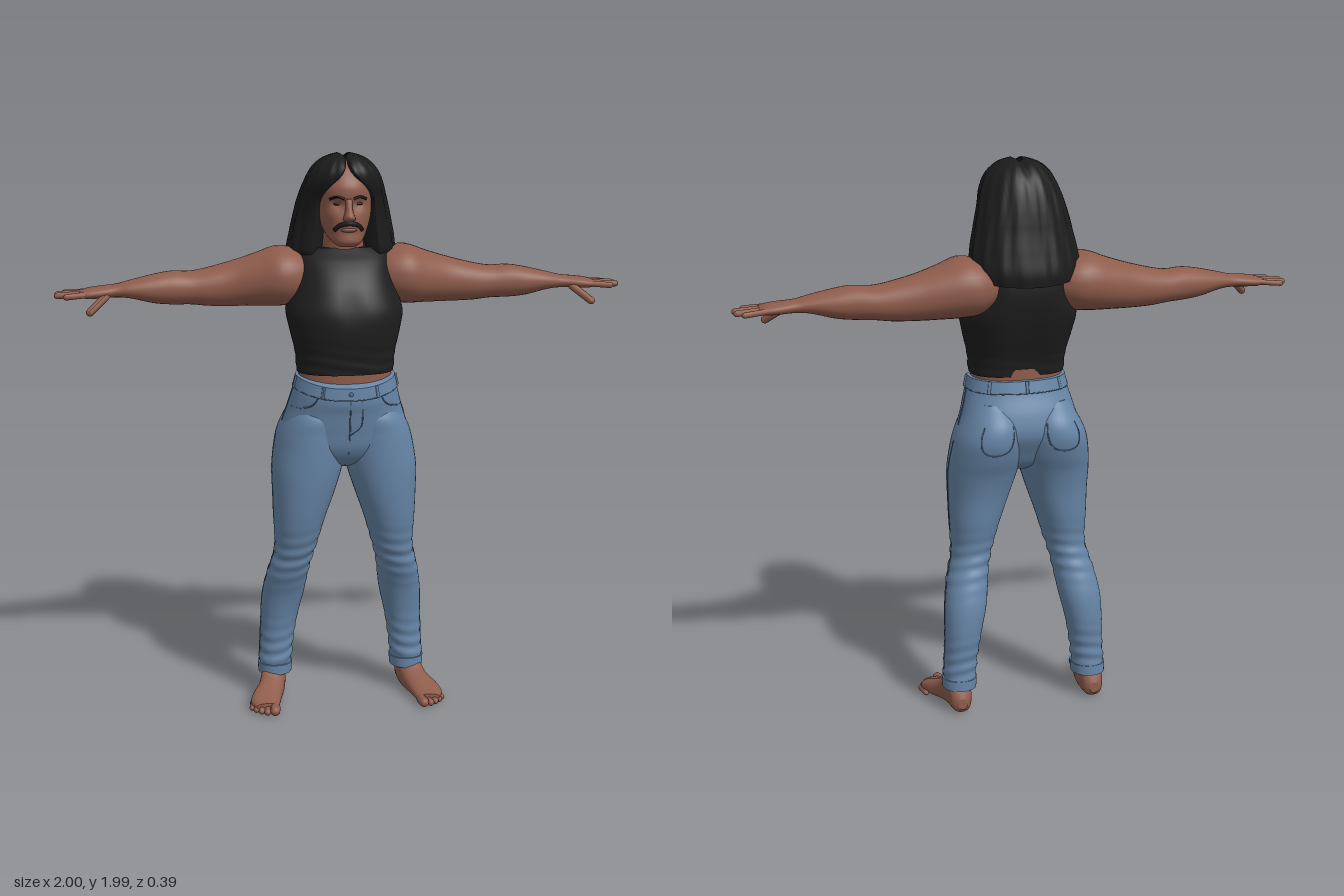
import * as THREE from 'three';

const material = (name, color) => {
  const m = new THREE.MeshStandardMaterial({ color });
  m.name = name;
  return m;
};
const V = (x, y, z) => new THREE.Vector3(x, y, z);
const bump = (x, c, w) => Math.exp(-(((x - c) / w) ** 2));

// Smooth interpolation of rows [t, uMin, uMax, vMin, vMax, ...] sorted by t
function sample(rows, t) {
  const n = rows.length;
  let i = 0;
  while (i < n - 2 && t > rows[i + 1][0]) i++;
  const a = rows[i], b = rows[i + 1], h = b[0] - a[0], s = (t - a[0]) / h;
  const before = rows[Math.max(i - 1, 0)], after = rows[Math.min(i + 2, n - 1)];
  return a.map((_, k) => {
    const m0 = (b[k] - before[k]) / (b[0] - before[0]), m1 = (after[k] - a[k]) / (after[0] - a[0]);
    return a[k] * (1 + 2 * s) * (1 - s) ** 2 + m0 * h * s * (1 - s) ** 2
      + b[k] * s * s * (3 - 2 * s) + m1 * h * s * s * (s - 1);
  });
}

// Rounded cross-sections along an axis; angle 0 points to +v
function surface(table, { axis = 'y', p = 2, warp } = {}) {
  const rows = [...table].sort((a, b) => a[0] - b[0]);
  const pow = (c) => Math.sign(c) * Math.abs(c) ** (2 / p);
  const f = (t, a) => {
    const [, u0, u1, v0, v1] = sample(rows, t);
    const u = (u0 + u1) / 2 + ((u1 - u0) / 2) * pow(Math.sin(a));
    const v = (v0 + v1) / 2 + ((v1 - v0) / 2) * pow(Math.cos(a));
    const q = axis === 'y' ? V(u, t, v) : axis === 'x' ? V(t, u, v) : V(u, v, t);
    if (warp) warp(q, t, a);
    return q;
  };
  f.rows = rows;
  return f;
}

// Skin a surface function into a closed geometry
function loft(f, steps = 40, n = 40) {
  const t0 = f.rows[0][0], t1 = f.rows[f.rows.length - 1][0], pos = [], idx = [];
  const ring = (t) => {
    for (let i = 0; i < n; i++) pos.push(...f(t, (2 * Math.PI * (i + 0.5)) / n).toArray());
  };
  for (let j = 0; j <= steps; j++) ring(t0 + ((t1 - t0) * j) / steps);
  for (let j = 0; j < steps; j++) for (let i = 0; i < n; i++) {
    const a = j * n + i, b = j * n + ((i + 1) % n);
    idx.push(a, a + n, b, b, a + n, b + n);
  }
  [t0, t1].forEach((t, k) => {
    const s = pos.length / 3;
    ring(t);
    for (let i = 0; i < n / 2 - 1; i++) {
      const a = s + i, b = a + 1, c = s + n - 2 - i, d = c + 1;
      idx.push(...(k ? [a, d, b, b, d, c] : [a, b, d, b, c, d]));
    }
  });
  let volume = 0;
  const P = (i) => V().fromArray(pos, i * 3);
  for (let i = 0; i < idx.length; i += 3) volume += P(idx[i]).dot(P(idx[i + 1]).cross(P(idx[i + 2])));
  if (volume < 0) idx.reverse();
  const g = new THREE.BufferGeometry();
  g.setAttribute('position', new THREE.Float32BufferAttribute(pos, 3));
  g.setIndex(idx);
  g.computeVertexNormals();
  return g;
}

function capsule(a, b, r, flat = 1) {
  const d = b.clone().sub(a), len = d.length();
  const g = new THREE.CapsuleGeometry(r, Math.max(len - 2 * r, 0.001), 5, 10);
  g.applyQuaternion(new THREE.Quaternion().setFromUnitVectors(V(0, 1, 0), d.normalize()));
  g.scale(1, flat, 1);
  const c = a.clone().add(b).multiplyScalar(0.5);
  return g.translate(c.x, c.y, c.z);
}
const tube = (pts, r) => new THREE.TubeGeometry(new THREE.CatmullRomCurve3(pts), 24, r, 6);
const ball = (x, y, z, rx, ry, rz) => new THREE.SphereGeometry(1, 16, 10).scale(rx, ry, rz).translate(x, y, z);
const line = (f, pts, r = 0.0025) => tube(pts.map(([t, a]) => f(t, a)), r);
const even = (rows) => rows.map(([t, w, ...rest]) => [t, -w, w, ...rest]);

export function createModel() {
  const model = new THREE.Group();
  model.name = 'standingMan';
  const skin = material('skin', 0x8e5c4b), hairMat = material('black hair', 0x1b1b1b);
  const cloth = material('black cloth', 0x1e1e1e), denim = material('blue denim', 0x6685a6);
  const stitch = material('denim seam', 0x506c8b), lipMat = material('lips', 0x7a4a3f);

  const add = (name, geo, mat) => {
    const m = new THREE.Mesh(geo, mat);
    m.name = name;
    model.add(m);
  };
  const pair = (name, geo, mat) => {
    const other = geo.clone().scale(-1, 1, 1);
    other.setIndex([...geo.index.array].reverse());
    other.computeVertexNormals();
    add('left' + name, geo, mat);
    add('right' + name, other, mat);
  };

  // Head, with hollowed eye sockets and fuller cheeks
  const head = surface(even([
    [1.675, 0.032, 0.075, 0.132], [1.69, 0.052, 0.03, 0.146], [1.72, 0.072, -0.04, 0.145],
    [1.76, 0.087, -0.08, 0.146], [1.8, 0.094, -0.1, 0.14], [1.84, 0.096, -0.11, 0.143],
    [1.88, 0.095, -0.1, 0.14], [1.92, 0.08, -0.08, 0.115], [1.95, 0.05, -0.04, 0.08], [1.962, 0.015, 0, 0.04],
  ]), {
    p: 2.15, warp: (q, t, a) => {
      if (Math.cos(a) < 0) return;
      const x = Math.abs(q.x);
      q.z += -0.012 * bump(x, 0.035, 0.022) * bump(t, 1.82, 0.016) + 0.005 * bump(x, 0.055, 0.02) * bump(t, 1.785, 0.02);
    },
  });
  add('head', loft(head, 60, 72), skin);
  add('nose', loft(surface(even([
    [1.762, 0.014, 0.12, 0.155], [1.768, 0.022, 0.12, 0.173], [1.78, 0.019, 0.12, 0.182],
    [1.8, 0.013, 0.12, 0.166], [1.838, 0.012, 0.12, 0.148],
  ])), 16, 20), skin);
  add('neck', loft(surface(even([[1.56, 0.1, -0.12, 0.07], [1.64, 0.078, -0.09, 0.06], [1.72, 0.07, -0.07, 0.07]])), 8), skin);
  pair('Eye', ball(0.035, 1.82, 0.121, 0.015, 0.005, 0.005), hairMat);
  pair('Eyebrow', tube([V(0.015, 1.838, 0.143), V(0.038, 1.845, 0.136), V(0.062, 1.837, 0.117)], 0.005), hairMat);
  add('moustache', tube([V(-0.048, 1.733, 0.127), V(-0.03, 1.75, 0.144), V(0, 1.756, 0.153),
    V(0.03, 1.75, 0.144), V(0.048, 1.733, 0.127)], 0.008), hairMat);
  add('lips', ball(0, 1.733, 0.142, 0.028, 0.008, 0.009), lipMat);

  // Hair: a thick shell, open around the face; the last column is half the opening angle
  const hairRows = even([
    [1.615, 0.178, -0.19, 0.065, 0.7], [1.65, 0.192, -0.192, 0.085, 0.62], [1.7, 0.187, -0.178, 0.085, 0.6],
    [1.76, 0.172, -0.16, 0.088, 0.6], [1.83, 0.155, -0.145, 0.108, 0.62], [1.88, 0.14, -0.13, 0.137, 0.42],
    [1.92, 0.122, -0.11, 0.143, 0.14], [1.95, 0.1, -0.085, 0.127, 0.05], [1.975, 0.065, -0.05, 0.095, 0.02],
    [1.987, 0.025, -0.01, 0.06, 0.02],
  ]);
  const hair = (t, a) => {
    const [, u0, u1, v0, v1, open] = sample(hairRows, t);
    const inner = a > Math.PI, s = (inner ? 2 * Math.PI - a : a) / Math.PI;
    const b = open + s * 2 * (Math.PI - open);
    const k = inner ? 0.66 : 1 + 0.013 * Math.sin(17 * b + 9 * t) + 0.008 * Math.sin(31 * b - 20 * t);
    const x = (u1 / 1) * k * Math.sin(b), z = (v0 + v1) / 2 + ((v1 - v0) / 2) * k * Math.cos(b);
    const drop = 0.022 * (1 - Math.cos(b)) * THREE.MathUtils.clamp((1.78 - t) / 0.15, 0, 1);
    const part = 0.012 * bump(x, 0, 0.012) * THREE.MathUtils.smoothstep(t, 1.9, 1.96);
    return V(x, t - drop - part, z);
  };
  hair.rows = hairRows;
  add('longHair', loft(hair, 50, 160), hairMat);

  // Sleeveless top with spine and chest grooves, and the bare waist below it
  const top = surface(even([
    [1.235, 0.17, -0.077, 0.175], [1.3, 0.175, -0.092, 0.185], [1.38, 0.193, -0.125, 0.2], [1.45, 0.204, -0.15, 0.2],
    [1.52, 0.183, -0.165, 0.177], [1.58, 0.17, -0.165, 0.14], [1.62, 0.167, -0.152, 0.105],
    [1.645, 0.16, -0.135, 0.075], [1.662, 0.13, -0.11, 0.055],
  ]), {
    p: 2.4, warp: (q, t, a) => {
      q.z += 0.016 * bump(a, Math.PI, 0.3) - 0.008 * bump(q.x, 0, 0.03) * bump(t, 1.47, 0.07) * (Math.cos(a) > 0);
      const fold = 1 + 0.008 * Math.sin(t * 150 + 3 * Math.sin(a * 2)) * bump(t, 1.25, 0.07);
      q.x *= fold;
      q.z *= fold;
    },
  });
  add('sleevelessTop', loft(top, 60, 64), cloth);
  add('waist', loft(surface(even([[1.15, 0.165, -0.07, 0.165], [1.26, 0.163, -0.07, 0.166]]), { p: 2.3 }), 4), skin);

  // Arms and hands
  const arm = surface([
    [0.1, 1.5, 1.63, -0.13, 0.05], [0.17, 1.463, 1.658, -0.165, 0.09], [0.23, 1.455, 1.664, -0.168, 0.098],
    [0.3, 1.455, 1.64, -0.155, 0.072], [0.38, 1.455, 1.615, -0.135, 0.045], [0.47, 1.458, 1.592, -0.12, 0.038],
    [0.53, 1.465, 1.582, -0.11, 0.035], [0.6, 1.468, 1.584, -0.095, 0.041], [0.66, 1.475, 1.575, -0.085, 0.045],
    [0.74, 1.495, 1.557, -0.066, 0.042], [0.79, 1.5, 1.545, -0.055, 0.034], [0.84, 1.498, 1.54, -0.06, 0.045],
    [0.89, 1.498, 1.533, -0.06, 0.05], [0.912, 1.505, 1.524, -0.052, 0.042],
  ], { axis: 'x', p: 2.15 });
  pair('Arm', loft(arm, 56, 32), skin);
  [[-0.047, 0.975, -0.066, 0.01], [-0.019, 0.998, -0.03, 0.011], [0.009, 1.0, 0.008, 0.011], [0.034, 0.968, 0.05, 0.011]]
    .forEach(([z0, x1, z1, r], i) => pair('Finger' + (i + 1), capsule(V(0.875, 1.517, z0), V(x1, 1.51, z1), r), skin));
  pair('Thumb', capsule(V(0.815, 1.515, 0.02), V(0.888, 1.455, 0.088), 0.0135), skin);

  // Jeans: seat, waistband and legs; the waistline dips at the front
  const dip = (q, t, a) => { q.y -= 0.03 * Math.max(0, Math.cos(a)) ** 2 * THREE.MathUtils.smoothstep(t, 1.08, 1.18); };
  const seat = surface(even([
    [0.885, 0.03, -0.03, 0.06], [0.91, 0.12, -0.07, 0.115], [0.96, 0.21, -0.1, 0.152], [1.03, 0.225, -0.132, 0.168],
    [1.1, 0.205, -0.125, 0.18], [1.17, 0.185, -0.098, 0.19], [1.215, 0.172, -0.085, 0.187],
  ]), { p: 2.3, warp: dip });
  add('jeansSeat', loft(seat, 40, 64), denim);
  const band = surface(even([[1.18, 0.185, -0.1, 0.194], [1.222, 0.175, -0.09, 0.192]]), { p: 2.3, warp: dip });
  add('waistband', loft(band, 6, 64), denim);
  const leg = surface([
    [0.09, 0.192, 0.303, -0.118, 0.008], [0.13, 0.187, 0.305, -0.116, 0.01], [0.2, 0.18, 0.3, -0.117, 0.012],
    [0.3, 0.163, 0.297, -0.125, 0.022], [0.4, 0.14, 0.292, -0.118, 0.045], [0.5, 0.125, 0.272, -0.088, 0.085],
    [0.55, 0.115, 0.256, -0.072, 0.1], [0.6, 0.1, 0.251, -0.065, 0.115], [0.7, 0.07, 0.255, -0.08, 0.14],
    [0.8, 0.035, 0.258, -0.092, 0.155], [0.88, 0.01, 0.26, -0.112, 0.162], [0.95, -0.002, 0.252, -0.14, 0.165],
    [1.02, 0, 0.236, -0.157, 0.166], [1.08, 0.01, 0.207, -0.143, 0.163], [1.14, 0.05, 0.17, -0.09, 0.12],
  ], {
    p: 2.15, warp: (q, t, a) => {
      const w = 0.003 * Math.sin(t * 130 + 2.5 * Math.sin(a + 1)) * (bump(t, 0.55, 0.08) + bump(t, 0.17, 0.09));
      q.x += w * Math.sin(a);
      q.z += w * Math.cos(a);
    },
  });
  pair('JeansLeg', loft(leg, 120, 40), denim);
  pair('Cuff', loft(surface([[0.088, 0.186, 0.308, -0.122, 0.014], [0.125, 0.183, 0.309, -0.12, 0.015]], { p: 2.15 }), 4), denim);

  // Seams, pockets, fly, belt loops and button
  const H = Math.PI / 2;
  pair('SideSeam', line(leg, [1.0, 0.9, 0.8, 0.7, 0.6, 0.5, 0.4, 0.3, 0.2, 0.13].map((t) => [t, H]), 0.002), stitch);
  pair('HipSeam', line(seat, [1.18, 1.12, 1.06, 1.0].map((t) => [t, H]), 0.002), stitch);
  pair('FrontPocket', line(seat, [[1.18, 0.6], [1.145, 0.68], [1.12, 0.95], [1.115, 1.3]]), stitch);
  pair('BackPocket', line(leg, [[1.075, 2.6], [1.03, 2.6], [0.99, 2.75], [0.975, 3.1], [0.99, 3.45], [1.03, 3.6], [1.075, 3.6]]), stitch);
  add('flySeam', line(seat, [[1.18, 0], [1.1, 0], [1.02, 0], [0.95, 0]]), stitch);
  add('flyStitch', line(seat, [[1.18, 0.17], [1.1, 0.17], [1.05, 0.13], [1.02, 0]], 0.002), stitch);
  add('waistbandSeam', line(band, Array.from({ length: 41 }, (_, i) => [1.18, (i * Math.PI) / 20 + 0.001]), 0.002), stitch);
  [0.5, 1.45, 2.4].forEach((a, i) => pair('BeltLoop' + (i + 1), line(band, [[1.18, a], [1.2, a], [1.222, a]], 0.006), denim));
  add('backBeltLoop', line(band, [[1.18, Math.PI], [1.2, Math.PI], [1.222, Math.PI]], 0.006), denim);
  add('button', ball(0, 1.172, 0.194, 0.008, 0.008, 0.004), stitch);

  // Bare feet with toes, turned slightly outward
  const foot = surface([
    [-0.125, 0.235, 0.268, 0.02, 0.06], [-0.112, 0.218, 0.286, 0.005, 0.09], [-0.08, 0.21, 0.295, 0, 0.13],
    [-0.03, 0.21, 0.3, 0, 0.128], [0.02, 0.22, 0.315, 0, 0.09], [0.07, 0.234, 0.342, 0, 0.066],
    [0.11, 0.245, 0.352, 0, 0.05], [0.15, 0.255, 0.335, 0.004, 0.036],
  ], { axis: 'z', p: 2.4 });
  pair('Foot', loft(foot, 40, 32), skin);
  [[0.266, 0.274, 0.198, 0.018], [0.291, 0.3, 0.187, 0.0125], [0.31, 0.32, 0.172, 0.012],
    [0.327, 0.337, 0.154, 0.0115], [0.34, 0.35, 0.133, 0.011]]
    .forEach(([x0, x1, z, r], i) => pair('Toe' + (i + 1), capsule(V(x0, r, z - 0.07), V(x1, r, z), r), skin));

  return model;
}
